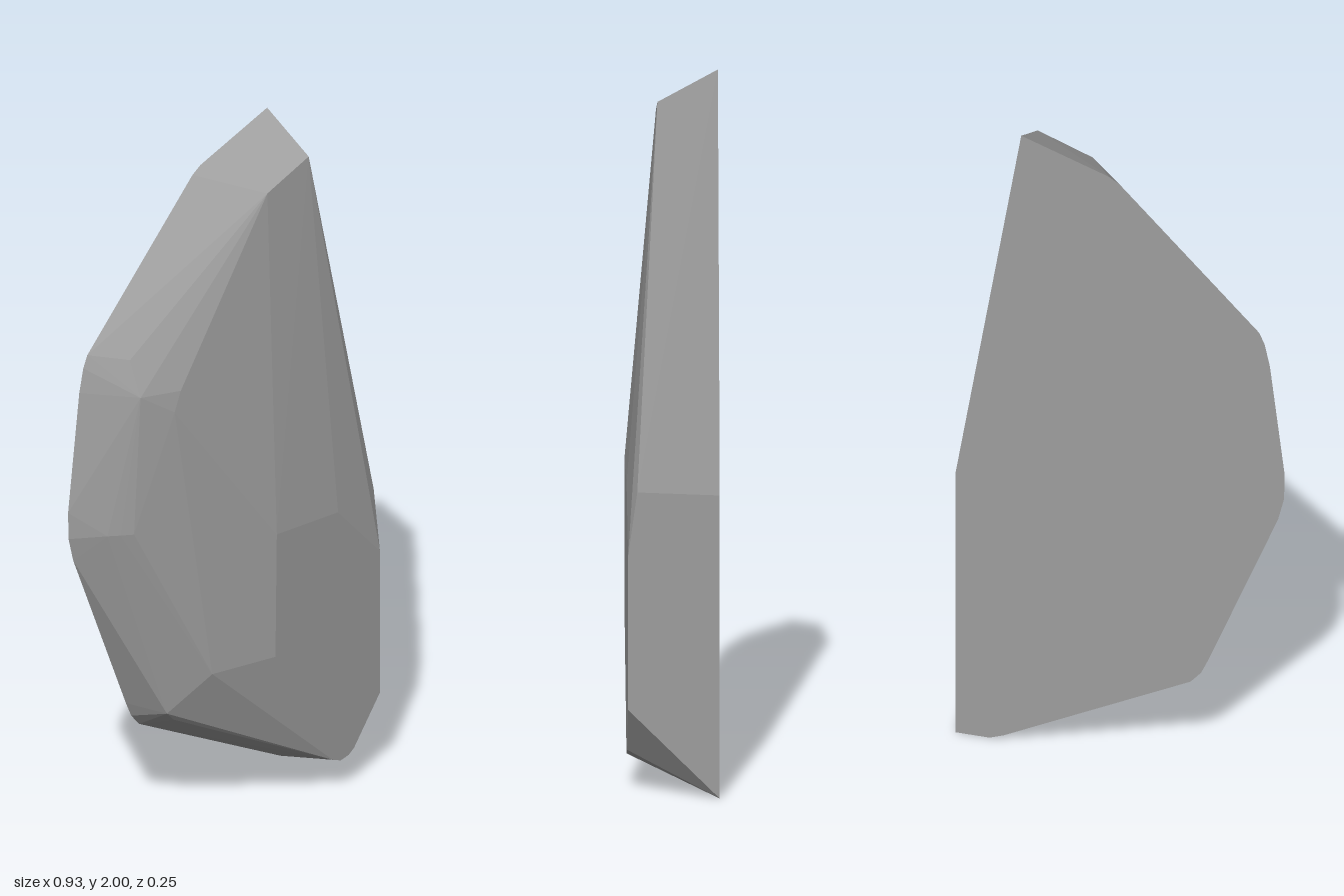
import * as THREE from 'three';
import { ConvexGeometry } from 'three/addons/geometries/ConvexGeometry.js';

export function createModel() {
  const stone = new THREE.MeshStandardMaterial({ color: 0x9e9e9e });
  stone.name = 'stone grey';
  const back = -0.125, front = 0.125;

  // flat back outline (x, y)
  const backOutline = [
    [0.28, 2], [0.03, 1.91], [0, 1.89], [-0.395, 1.475], [-0.41, 1.44], [-0.425, 1.37],
    [-0.467, 1.02], [-0.465, 0.94], [-0.448, 0.87], [-0.25, 0.37], [-0.23, 0.325], [-0.2, 0.29],
    [0.33, 0.015], [0.37, 0], [0.467, 0], [0.467, 0.85],
  ];
  // flat front plateau (x, y)
  const frontOutline = [
    [0.08, 0.86], [0.31, 0.85], [0.467, 0.68], [0.467, 0.25], [0.37, 0.115],
    [0.35, 0.1], [0.32, 0.093], [0.29, 0.105], [0.075, 0.49],
  ];
  // bevel corners between the two (x, y, z)
  const bevels = [
    [0.28, 1.91, 0.04], [0.125, 1.85, 0.04], [0.467, 0.86, 0.1],
    [-0.2, 1.36, 0.04], [-0.22, 1.3, 0.037], [-0.31, 1.46, -0.045], [-0.31, 1.36, -0.003],
    [-0.39, 0.95, -0.05], [-0.36, 0.95, -0.028], [-0.33, 0.95, -0.008],
    [-0.11, 0.48, 0.07], [-0.2, 0.36, -0.015], [-0.17, 0.33, -0.02],
  ];

  const points = [
    ...backOutline.map(([x, y]) => new THREE.Vector3(x, y, back)),
    ...frontOutline.map(([x, y]) => new THREE.Vector3(x, y, front)),
    ...bevels.map((p) => new THREE.Vector3(...p)),
  ];

  // faceted rock slab
  const slab = new THREE.Mesh(new ConvexGeometry(points), stone);
  slab.name = 'rockSlab';
  const group = new THREE.Group();
  group.name = 'rock';
  group.add(slab);
  return group;
}
